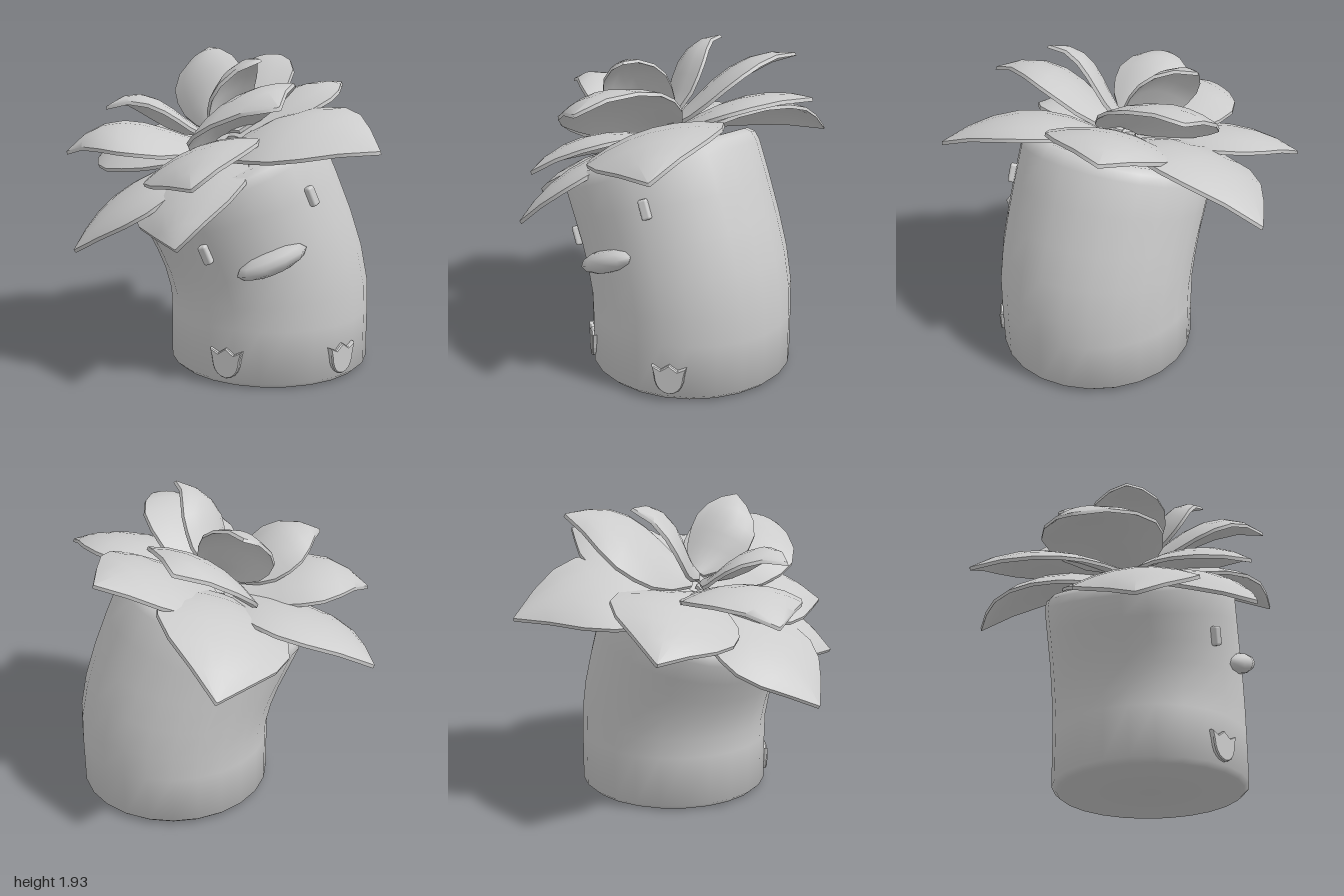
import * as THREE from 'three';
import { toCreasedNormals } from 'three/addons/utils/BufferGeometryUtils.js';
import { RoundedBoxGeometry } from 'three/addons/geometries/RoundedBoxGeometry.js';

const grey = new THREE.MeshStandardMaterial({ color: 0xcccccc, side: THREE.DoubleSide });
const TILT = 0.39; // lean of the top, towards -x
const AXIS = new THREE.Vector3(-Math.sin(TILT), Math.cos(TILT), 0);
const CENTRE_Z = 0.185;

function add(group, name, geometry) {
  const mesh = new THREE.Mesh(geometry, grey);
  mesh.name = name;
  group.add(mesh);
  return mesh;
}

// Bent trunk: rings of [x, y, tilt, radius], from the top cap down to the base
function bodyGeometry() {
  const rings = [
    [0.03, 1.28, TILT, 0], [0.03, 1.28, TILT, 0.56], [0.04, 1.25, TILT, 0.6],
    [0.06, 1.2, 0.38, 0.615], [0.135, 1.035, 0.3, 0.615], [0.215, 0.85, 0.21, 0.615],
    [0.275, 0.68, 0.12, 0.618], [0.315, 0.5, 0.05, 0.618], [0.32, 0.35, 0, 0.618],
    [0.32, 0.03, 0, 0.618], [0.32, 0, 0, 0.585], [0.32, 0, 0, 0],
  ];
  const sides = 24;
  const geo = new THREE.CylinderGeometry(1, 1, 1, sides, rings.length - 1, true);
  const p = geo.attributes.position;
  for (let i = 0; i < p.count; i++) {
    const [x, y, tilt, r] = rings[Math.floor(i / (sides + 1))];
    const across = p.getX(i) * r;
    p.setXYZ(i, x + across * Math.cos(tilt), y + across * Math.sin(tilt), CENTRE_Z + p.getZ(i) * r);
  }
  return toCreasedNormals(geo, 0.9);
}

// Leaf: a thin slab widened along its length, arched lengthwise (a higher
// curl puts the crest nearer the tip), domed across and swayed to one side
const OUTLINE = [0.25, 0.62, 0.88, 1, 1, 0.8, 0.43, 0.01];
function leafGeometry(base, tip, halfWidth, arch, sway, dome, curl) {
  const steps = OUTLINE.length - 1;
  const geo = new THREE.BoxGeometry(2, 1, 1, 6, 1, steps);
  const p = geo.attributes.position;
  const along = tip.clone().sub(base);
  const side = new THREE.Vector3().crossVectors(AXIS, along).normalize();
  const up = new THREE.Vector3().crossVectors(along, side).normalize();
  const crest = (curl / (curl + 1)) ** curl / (curl + 1);
  const v = new THREE.Vector3();
  for (let i = 0; i < p.count; i++) {
    const t = p.getZ(i) + 0.5;
    const u = p.getX(i);
    const w = halfWidth * OUTLINE[Math.round(t * steps)];
    const across = u * w + sway * 4 * t * (1 - t);
    const lift = (arch * t ** curl * (1 - t)) / crest - dome * u * u * w + 0.022 * p.getY(i);
    v.copy(base).addScaledVector(along, t).addScaledVector(side, across).addScaledVector(up, lift);
    p.setXYZ(i, v.x, v.y, v.z);
  }
  return toCreasedNormals(geo, 0.8);
}

// Foot: rounded pad with three pointed toes
function footGeometry() {
  const s = new THREE.Shape();
  s.moveTo(0, -0.085);
  s.quadraticCurveTo(0.08, -0.075, 0.085, 0.03);
  s.lineTo(0.098, 0.08);
  s.lineTo(0.05, 0.055);
  s.lineTo(0, 0.09);
  s.lineTo(-0.05, 0.055);
  s.lineTo(-0.098, 0.08);
  s.lineTo(-0.085, 0.03);
  s.quadraticCurveTo(-0.08, -0.075, 0, -0.085);
  return new THREE.ExtrudeGeometry(s, {
    depth: 0.03, curveSegments: 5, bevelEnabled: true,
    bevelSize: 0.006, bevelThickness: 0.008, bevelSegments: 1,
  });
}

export function createModel() {
  const model = new THREE.Group();
  model.name = 'plantCreature';
  add(model, 'body', bodyGeometry());

  // Leaf layers: base height, dome, curl, and leaves as [tip x, y, z, half width, arch, sway]
  const layers = [
    ['lowerLeaf', 1.31, 0.2, 1, [
      [0.35, 1.27, -1.0, 0.41, 0.2, 0], [-0.9, 0.77, 0.36, 0.38, 0.11, 0.03],
      [-0.35, 0.91, 0.98, 0.37, 0.13, 0], [0.8, 1.43, 0.96, 0.4, 0.18, 0]]],
    ['outerLeaf', 1.37, 0.22, 1.3, [
      [0.87, 1.69, -0.25, 0.38, 0.1, 0], [-0.7, 1.16, -0.7, 0.39, 0.12, -0.06],
      [-0.26, 1.24, 0.95, 0.36, 0.11, 0]]],
    ['middleLeaf', 1.42, 0.25, 1.6, [
      [0.22, 1.69, 0.99, 0.36, 0.16, -0.02], [-0.93, 1.31, 0.0, 0.38, 0.15, 0],
      [0.47, 1.85, -0.55, 0.36, 0.12, 0.04]]],
    ['innerLeaf', 1.47, 0.3, 2, [
      [0.18, 1.92, 0.6, 0.2, 0.11, -0.04], [-0.69, 1.62, 0.27, 0.24, 0.12, 0],
      [0.01, 1.92, -0.36, 0.23, 0.11, 0.02]]],
  ];
  const crown = new THREE.Group();
  crown.name = 'leafCrown';
  model.add(crown);
  for (const [name, baseY, dome, curl, leaves] of layers) {
    for (const [x, y, z, halfWidth, arch, sway] of leaves) {
      const base = new THREE.Vector3(0.1 * x, baseY + 0.04 * x, 0.14);
      const tip = new THREE.Vector3(x, y, z);
      add(crown, name, leafGeometry(base, tip, halfWidth, arch, sway, dome, curl));
    }
  }

  // Eyes, one each side of the beak
  for (const [name, x, y, yaw] of [['rightEye', -0.15, 0.81, -0.6], ['leftEye', 0.47, 1.14, 0.6]]) {
    const eye = add(model, name, new RoundedBoxGeometry(0.055, 0.12, 0.05, 2, 0.015));
    eye.position.set(x, y, 0.7);
    eye.rotation.set(0, yaw, TILT, 'ZYX');
  }

  // Beak
  const beak = add(model, 'beak', new THREE.SphereGeometry(1, 10, 6));
  beak.scale.set(0.22, 0.07, 0.11);
  beak.position.set(0.225, 0.775, 0.78);
  beak.rotation.z = TILT;

  // Feet
  for (const [name, side] of [['rightFoot', -1], ['leftFoot', 1]]) {
    const foot = add(model, name, footGeometry());
    foot.position.set(0.32 + side * 0.335, 0.14, CENTRE_Z + 0.495);
    foot.rotation.y = side * 0.595;
  }
  return model;
}
